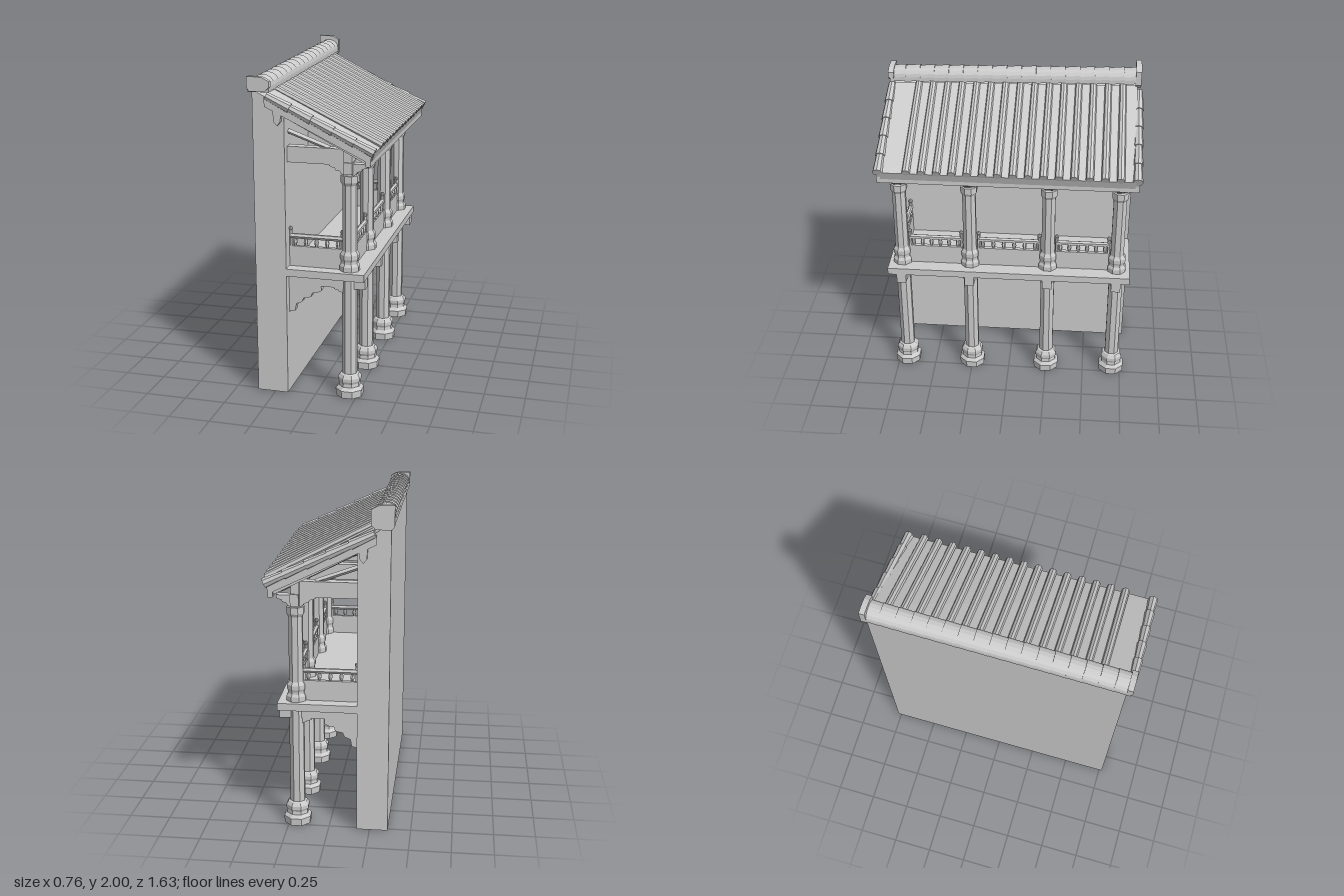
import * as THREE from 'three';
import { ConvexGeometry } from 'three/addons/geometries/ConvexGeometry.js';

const stone = new THREE.MeshStandardMaterial({ color: 0xcccccc, flatShading: true, side: THREE.DoubleSide });
stone.name = 'pale stone';
const V = (x, y, z) => new THREE.Vector3(x, y, z);
const COLUMN_Z = [0.69, 0.25, -0.25, -0.69];
const COLUMN_X = 0.2;
const ridgeY = z => 1.853 - 0.02 * z; // the ridge rises gently towards the back

export function createModel() {
  const model = new THREE.Group();
  model.name = 'balconyHouse';

  function add(parent, name, geometry) {
    const mesh = new THREE.Mesh(geometry, stone);
    mesh.name = name;
    parent.add(mesh);
    return mesh;
  }
  function group(name) {
    const g = new THREE.Group();
    g.name = name;
    model.add(g);
    return g;
  }
  // box given by its limits
  function box(parent, name, x0, x1, y0, y1, z0, z1) {
    const m = add(parent, name, new THREE.BoxGeometry(x1 - x0, y1 - y0, z1 - z0));
    m.position.set((x0 + x1) / 2, (y0 + y1) / 2, (z0 + z1) / 2);
    return m;
  }
  // round bar between two points
  function rod(parent, name, a, b, r0, r1, sides = 8) {
    const m = add(parent, name, new THREE.CylinderGeometry(r1, r0, a.distanceTo(b), sides));
    m.position.copy(a).lerp(b, 0.5);
    m.quaternion.setFromUnitVectors(V(0, 1, 0), b.clone().sub(a).normalize());
    return m;
  }
  // flat profile with thickness, centred on its depth
  function plate(parent, name, points, depth) {
    const shape = new THREE.Shape(points.map(p => new THREE.Vector2(p[0], p[1])));
    const g = new THREE.ExtrudeGeometry(shape, { depth, bevelEnabled: false });
    g.translate(0, 0, -depth / 2);
    return add(parent, name, g);
  }
  // stepped corbel under a beam, reaching out from its support
  function corbel(parent, name, reach, drop, depth, x, y, z, turn) {
    const steps = [[0, 0], [1, 0], [1, -0.18], [0.85, -0.26], [0.72, -0.28], [0.68, -0.42],
      [0.45, -0.48], [0.4, -0.62], [0.22, -0.7], [0.18, -0.95], [0, -1]];
    const m = plate(parent, name, steps.map(([a, b]) => [a * reach, b * drop]), depth);
    m.position.set(x, y, z);
    m.rotation.y = turn;
  }
  // octagonal turned column
  function column(parent, name, profile, z) {
    const pts = profile.map(([r, y]) => new THREE.Vector2(r, y));
    const m = add(parent, name, new THREE.LatheGeometry(pts, 8, Math.PI / 8));
    m.position.set(COLUMN_X, 0, z);
  }

  // back wall, hollow, open below, with a sloping top
  const wallGeo = new THREE.BoxGeometry(0.19, 1, 1.54);
  const pos = wallGeo.attributes.position;
  for (let i = 0; i < pos.count; i++) {
    const top = pos.getX(i) > 0 ? 1.77 : ridgeY(pos.getZ(i)) + 0.03;
    pos.setY(i, pos.getY(i) > 0 ? top : 0);
  }
  const index = Array.from(wallGeo.index.array);
  index.splice(18, 6);
  wallGeo.setIndex(index);
  wallGeo.clearGroups();
  wallGeo.computeVertexNormals();
  add(model, 'wall', wallGeo).position.x = -0.265;

  // columns on both storeys with beams and brackets
  const frame = group('columnsAndBeams');
  const lower = [[0.085, 0], [0.087, 0.045], [0.068, 0.065], [0.066, 0.085], [0.073, 0.1], [0.073, 0.12],
    [0.06, 0.14], [0.047, 0.145], [0.047, 0.755]];
  const upper = [[0.062, 0.8], [0.062, 0.83], [0.052, 0.845], [0.052, 0.86], [0.058, 0.875], [0.058, 0.9],
    [0.045, 0.92], [0.044, 1.32], [0.055, 1.34], [0.055, 1.38], [0, 1.38]];
  COLUMN_Z.forEach((z, i) => {
    column(frame, 'lowerColumn', lower, z);
    column(frame, 'upperColumn', upper, z);
    box(frame, 'floorBeam', -0.17, 0.3, 0.69, 0.755, z - 0.03, z + 0.03);
    box(frame, 'roofTieBeam', -0.17, 0.17, 1.44, 1.535, z - 0.03, z + 0.03);
    box(frame, 'columnHead', 0.172, 0.222, 1.38, 1.53, z - 0.04, z + 0.04);
    rod(frame, 'roofBrace', V(-0.17, 1.62, z), V(0.08, 1.53, z), 0.015, 0.015, 4);
    corbel(frame, 'wallCorbel', 0.2, 0.18, 0.05, -0.17, 0.69, z, 0);
    corbel(frame, 'innerColumnCorbel', 0.09, 0.06, 0.05, COLUMN_X, 0.69, z, Math.PI);
    corbel(frame, 'innerEaveBracket', 0.12, 0.1, 0.05, COLUMN_X, 1.45, z, Math.PI);
    corbel(frame, 'outerEaveBracket', 0.11, 0.1, 0.05, COLUMN_X, 1.45, z, 0);
    if (i < 3) {
      corbel(frame, 'floorBracket', 0.11, 0.12, 0.04, COLUMN_X, 0.755, z, Math.PI / 2);
      corbel(frame, 'roofBracket', 0.09, 0.08, 0.04, COLUMN_X, 1.42, z, Math.PI / 2);
    }
    if (i > 0) {
      corbel(frame, 'floorBracket', 0.11, 0.12, 0.04, COLUMN_X, 0.755, z, -Math.PI / 2);
      corbel(frame, 'roofBracket', 0.09, 0.08, 0.04, COLUMN_X, 1.42, z, -Math.PI / 2);
    }
  });
  box(frame, 'eaveBeam', 0.175, 0.225, 1.39, 1.46, -0.74, 0.74);
  box(model, 'balconyFloor', -0.17, 0.305, 0.755, 0.8, -0.775, 0.775);

  // balcony railing: low panel, small balusters, handrail and end knobs
  const railing = group('railing');
  function rail(a, b, count) {
    const at = (t, y) => a.clone().lerp(b, t).setY(y);
    const alongZ = Math.abs(a.z - b.z) > 0.1;
    const px = alongZ ? 0.012 : 0, pz = alongZ ? 0 : 0.012;
    box(railing, 'railPanel', Math.min(a.x, b.x) - px, Math.max(a.x, b.x) + px, 0.8, 0.925,
      Math.min(a.z, b.z) - pz, Math.max(a.z, b.z) + pz);
    rod(railing, 'handrail', at(0, 0.985), at(1, 0.985), 0.016, 0.016, 6);
    for (let i = 0; i < count; i++) {
      const t = (i + 0.5) / count;
      rod(railing, 'baluster', at(t, 0.92), at(t, 0.95), 0.007, 0.014, 6);
      rod(railing, 'balusterTop', at(t, 0.95), at(t, 0.98), 0.014, 0.008, 6);
    }
    for (const t of [0.015, 0.985]) {
      rod(railing, 'railPost', at(t, 0.92), at(t, 1.02), 0.011, 0.011, 6);
      const knob = add(railing, 'railKnob', new THREE.IcosahedronGeometry(0.015, 0));
      knob.position.copy(at(t, 1.03));
    }
  }
  for (let i = 0; i < 3; i++) {
    rail(V(COLUMN_X, 0, COLUMN_Z[i] - 0.05), V(COLUMN_X, 0, COLUMN_Z[i + 1] + 0.05), 6);
  }
  for (const z of [0.69, -0.69]) rail(V(-0.168, 0, z), V(0.16, 0, z), 5);

  // roof slab with long half-round tiles
  const roof = group('roof');
  const corners = [];
  for (const z of [-0.77, 0.77]) {
    corners.push(V(-0.27, ridgeY(z) + 0.008, z), V(0.365, 1.535, z), V(0.335, 1.455, z), V(-0.24, 1.75, z));
  }
  add(roof, 'roofSlab', new ConvexGeometry(corners));
  box(roof, 'eaveBoard', 0.315, 0.345, 1.455, 1.53, -0.795, 0.795);
  for (let i = 0; i < 15; i++) {
    const z = -0.68 + i * 0.092;
    rod(roof, 'roofTile', V(-0.27, ridgeY(z) + 0.012, z), V(0.373, 1.545, z), 0.022, 0.025);
  }
  // rafters showing below the eave
  for (const z of [0.59, 0.51, 0.42, 0.33, 0.25, 0.08, -0.09, -0.26, -0.4, -0.5, -0.58]) {
    rod(roof, 'rafter', V(-0.18, 1.705, z), V(0.31, 1.45, z), 0.02, 0.02);
  }
  // overlapping tiles and a board along each gable
  for (const s of [1, -1]) {
    const top = V(-0.27, 1.835, s * 0.782), end = V(0.365, 1.535, s * 0.782);
    for (let i = 0; i < 5; i++) {
      const a = top.clone().lerp(end, i / 5), b = top.clone().lerp(end, Math.min(1, (i + 1.1) / 5));
      rod(roof, 'gableTile', a, b, 0.024, 0.031);
    }
    const board = plate(roof, 'gableBoard', [[-0.28, 1.83], [0.355, 1.53], [0.34, 1.475], [-0.28, 1.775]], 0.03);
    board.position.z = s * 0.78;
    const pendant = plate(roof, 'gablePendant', [[-0.23, 1.76], [-0.18, 1.74], [-0.185, 1.69], [-0.205, 1.665], [-0.225, 1.69]], 0.03);
    pendant.position.z = s * 0.78;
  }

  // ridge of tilted overlapping caps between two end blocks
  const ridge = group('ridge');
  const dome = [[0.065, -0.025]];
  for (let i = 0; i <= 8; i++) {
    const a = Math.PI * i / 8;
    dome.push([0.065 * Math.cos(a), 0.055 * Math.sin(a)]);
  }
  dome.push([-0.065, -0.025]);
  for (let i = 0; i < 17; i++) {
    const z = -0.73 + i * 0.092;
    const cap = plate(ridge, 'ridgeTile', dome, 0.104);
    cap.position.set(-0.315, ridgeY(z) + 0.048, z);
    cap.rotation.x = 0.1;
  }
  for (const [z, top] of [[0.785, 1.945], [-0.775, 2]]) {
    const h = top - 1.86;
    const block = plate(ridge, 'ridgeEnd', [[-0.05, 0], [0.04, 0], [0.068, 0.025], [0.068, h - 0.025],
      [0.03, h - 0.004], [0, h], [-0.065, h], [-0.065, 0.02]], 0.035);
    block.position.set(-0.315, 1.86, z);
  }
  return model;
}
